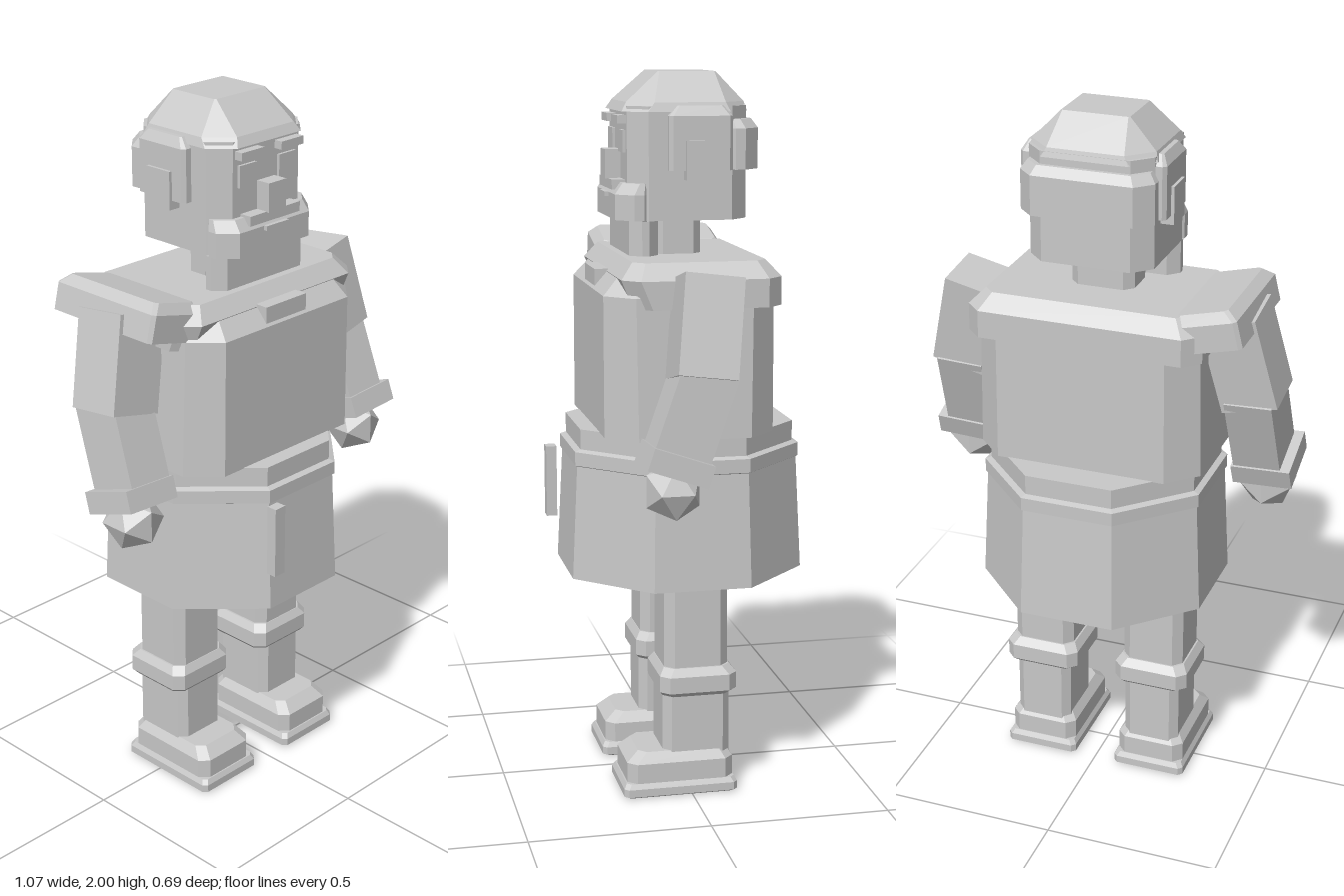
import * as THREE from 'three';

const grey = new THREE.MeshStandardMaterial({ color: 0xc8c8c8, flatShading: true, side: THREE.DoubleSide });
grey.name = 'plain grey';

// Stack of cut-corner rectangles, each [y, halfWidth, zBack, zFront, cornerCut]
function loft(rings) {
  const pts = rings.map(([y, w, b, f, c]) => [
    [-w + c, f], [w - c, f], [w, f - c], [w, b + c],
    [w - c, b], [-w + c, b], [-w, b + c], [-w, f - c],
  ].map(([x, z]) => [x, y, z]));
  const pos = [];
  const tri = (...v) => v.forEach((p) => pos.push(...p));
  for (let r = 0; r < pts.length - 1; r++) {
    for (let i = 0; i < 8; i++) {
      const j = (i + 1) % 8, lo = pts[r], hi = pts[r + 1];
      tri(lo[i], lo[j], hi[j]);
      tri(lo[i], hi[j], hi[i]);
    }
  }
  const bottom = pts[0], top = pts[pts.length - 1];
  for (let i = 1; i < 7; i++) {
    tri(top[0], top[i], top[i + 1]);
    tri(bottom[0], bottom[i + 1], bottom[i]);
  }
  const g = new THREE.BufferGeometry();
  g.setAttribute('position', new THREE.Float32BufferAttribute(pos, 3));
  g.computeVertexNormals();
  return g;
}

export function createModel() {
  const model = new THREE.Group();
  model.name = 'figure';

  function add(name, geometry, x = 0, y = 0, z = 0) {
    const m = new THREE.Mesh(geometry, grey);
    m.name = name;
    m.position.set(x, y, z);
    model.add(m);
    return m;
  }
  // Box given by its limits
  const box = (name, x0, x1, y0, y1, z0, z1) =>
    add(name, new THREE.BoxGeometry(x1 - x0, y1 - y0, z1 - z0), (x0 + x1) / 2, (y0 + y1) / 2, (z0 + z1) / 2);
  // Box running from one point to another
  function limb(name, from, to, width, depth) {
    const a = new THREE.Vector3(...from), b = new THREE.Vector3(...to);
    const d = b.clone().sub(a), mid = a.clone().add(b).multiplyScalar(0.5);
    const m = add(name, new THREE.BoxGeometry(width, d.length(), depth), mid.x, mid.y, mid.z);
    m.quaternion.setFromUnitVectors(new THREE.Vector3(0, 1, 0), d.negate().normalize());
  }

  for (const [side, s] of [['left', 1], ['right', -1]]) {
    // Legs and boots
    const x = s * 0.17;
    add(side + 'Leg', loft([[0.35, 0.09, -0.106, 0.074, 0.025], [0.72, 0.09, -0.106, 0.074, 0.025]]), x);
    add(side + 'BootShaft', loft([[0.08, 0.083, -0.113, 0.078, 0.022], [0.31, 0.083, -0.113, 0.078, 0.022]]), x);
    add(side + 'BootCuff', loft([
      [0.29, 0.1, -0.115, 0.08, 0.025], [0.302, 0.11, -0.128, 0.09, 0.025],
      [0.348, 0.11, -0.128, 0.09, 0.025], [0.37, 0.095, -0.11, 0.076, 0.025],
    ]), x);
    add(side + 'Foot', loft([
      [0.03, 0.1, -0.12, 0.182, 0.025], [0.098, 0.1, -0.12, 0.182, 0.025], [0.127, 0.08, -0.1, 0.148, 0.022],
    ]), x);
    add(side + 'Sole', loft([
      [0, 0.098, -0.12, 0.184, 0.012], [0.006, 0.108, -0.13, 0.194, 0.012],
      [0.028, 0.108, -0.13, 0.194, 0.012], [0.042, 0.1, -0.122, 0.186, 0.012],
    ]), x);

    // Arms
    limb(side + 'UpperArm', [s * 0.367, 1.473, -0.018], [s * 0.429, 1.214, 0.014], 0.16, 0.16);
    limb(side + 'Forearm', [s * 0.425, 1.245, 0.0], [s * 0.436, 1.0, 0.088], 0.135, 0.155);
    limb(side + 'SleeveCuff', [s * 0.446, 1.026, 0.08], [s * 0.449, 0.968, 0.1], 0.17, 0.17);
    add(side + 'Hand', new THREE.IcosahedronGeometry(0.084, 0), s * 0.447, 0.925, 0.095);

    // Ears and face features
    add(side + 'SideHair', loft([
      [1.74, 0.025, -0.125, 0.05, 0.01], [1.885, 0.025, -0.125, 0.05, 0.01], [1.912, 0.01, -0.1, 0.025, 0.005],
    ]), s * 0.178);
    box(side + 'Ear', s * 0.19 - 0.022, s * 0.19 + 0.022, 1.715, 1.82, -0.08, 0.006);
    box(side + 'Eye', s * 0.075 - 0.032, s * 0.075 + 0.032, 1.785, 1.845, 0.14, 0.16);
    box(side + 'Brow', s * 0.075 - 0.042, s * 0.075 + 0.042, 1.863, 1.885, 0.14, 0.177);
  }

  // Open skirt, belt and hanging tag
  const skirt = new THREE.CylinderGeometry(0.312, 0.328, 0.33, 8, 1, true);
  skirt.rotateY(Math.PI / 8).scale(1.0824, 1, 1.0824);
  add('skirt', skirt, 0, 0.775, -0.016);
  add('belt', loft([
    [0.925, 0.305, -0.321, 0.289, 0.179], [0.932, 0.318, -0.334, 0.302, 0.186],
    [0.97, 0.318, -0.334, 0.302, 0.186], [0.976, 0.302, -0.318, 0.286, 0.177],
    [1.032, 0.302, -0.318, 0.286, 0.177],
  ]));
  box('beltTag', -0.155, -0.117, 0.73, 0.935, 0.315, 0.345);

  // Torso, yoke and clasp
  add('torso', loft([
    [1.03, 0.323, -0.23, 0.24, 0.08], [1.415, 0.315, -0.23, 0.24, 0.075], [1.46, 0.29, -0.2, 0.2, 0.065],
  ]));
  add('yoke', loft([
    [1.385, 0.333, -0.238, 0.168, 0.045], [1.462, 0.333, -0.238, 0.2, 0.045], [1.506, 0.29, -0.2, 0.165, 0.03],
  ]));
  box('clasp', -0.08, 0.075, 1.422, 1.468, 0.19, 0.234);

  // Single shoulder pad on the right arm
  const pad = add('shoulderPad', loft([
    [-0.05, 0.095, -0.188, 0.188, 0.01], [0.025, 0.095, -0.188, 0.188, 0.01], [0.052, 0.07, -0.165, 0.165, 0.01],
  ]), -0.34, 1.474, -0.022);
  pad.rotation.z = -0.24;

  // Head
  add('neck', loft([[1.45, 0.09, -0.065, 0.07, 0.025], [1.64, 0.09, -0.065, 0.07, 0.025]]));
  add('head', loft([[1.605, 0.175, -0.178, 0.152, 0.05], [1.91, 0.175, -0.178, 0.152, 0.05]]));
  add('beard', loft([
    [1.51, 0.173, 0.07, 0.15, 0.03], [1.605, 0.173, 0.07, 0.15, 0.03],
    [1.606, 0.178, 0.07, 0.187, 0.045], [1.675, 0.178, 0.07, 0.187, 0.045], [1.705, 0.17, 0.07, 0.165, 0.04],
  ]));
  add('backHair', loft([
    [1.74, 0.187, -0.207, -0.09, 0.045], [1.85, 0.187, -0.207, -0.09, 0.045], [1.875, 0.17, -0.19, -0.09, 0.04],
  ]));
  add('cap', loft([
    [1.895, 0.18, -0.182, 0.165, 0.06], [1.92, 0.172, -0.175, 0.15, 0.065], [2.0, 0.095, -0.1, 0.06, 0.004],
  ]));
  box('nose', -0.033, 0.033, 1.71, 1.79, 0.14, 0.195);
  box('moustache', -0.095, 0.095, 1.685, 1.712, 0.14, 0.188);
  box('mouth', -0.042, 0.042, 1.663, 1.676, 0.17, 0.198);

  return model;
}
